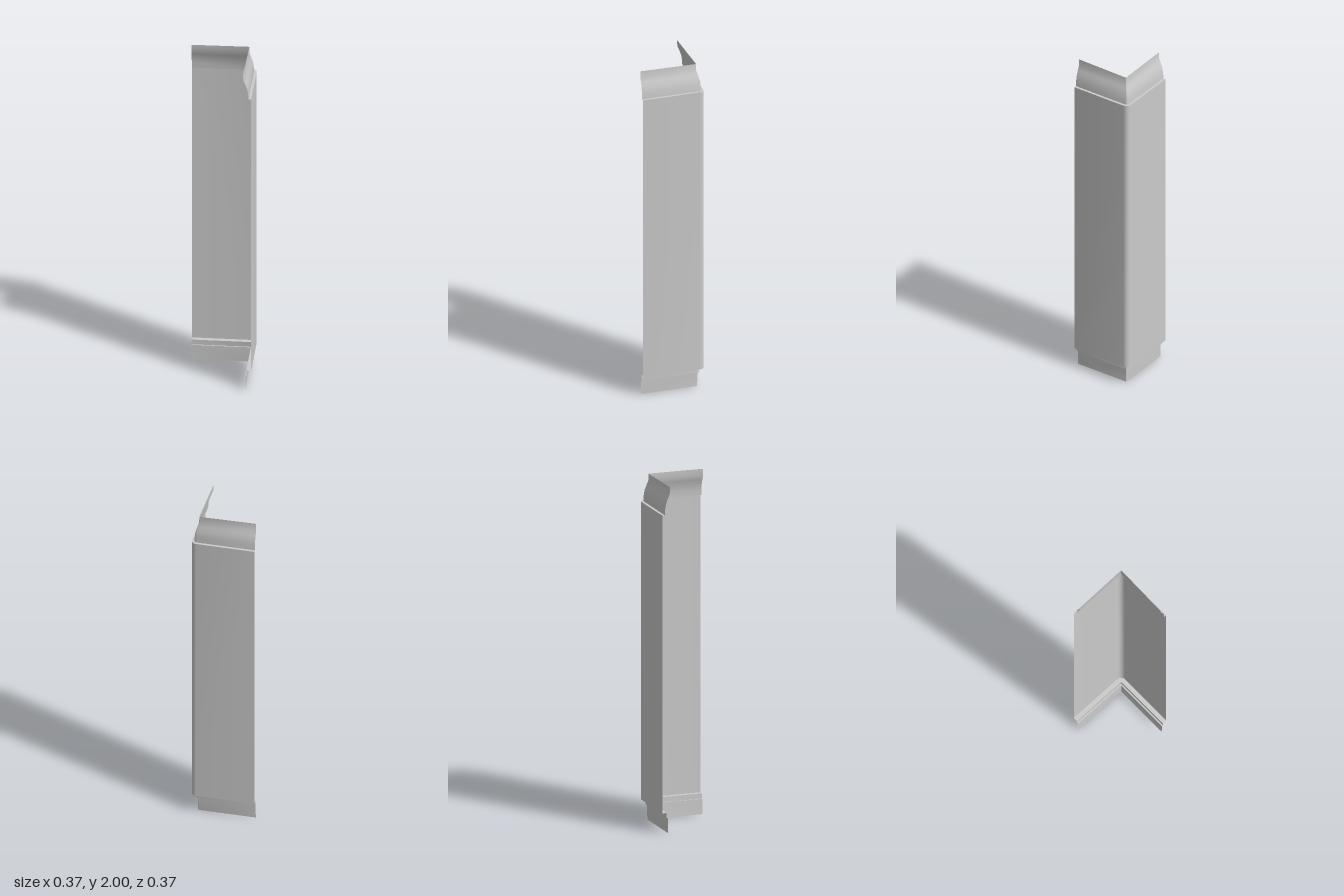
import * as THREE from 'three';
import { toCreasedNormals } from 'three/addons/utils/BufferGeometryUtils.js';

const END = -0.183; // free edge of each wing
const ARC = 6; // segments around the corner

// L-shaped section: back wing, rounded corner, side wing
function section({ y, d, r = 0.002, endD = d }) {
  const pts = [[END, y, -endD]];
  const c = d - r;
  for (let i = 0; i <= ARC; i++) {
    const a = -Math.PI / 2 + (i / ARC) * Math.PI / 2;
    pts.push([c + r * Math.cos(a), y, -c + r * Math.sin(a)]);
  }
  pts.push([endD, y, -END]);
  return pts;
}

// Thin sheet lofted through sections listed from bottom to top
function sheet(name, rows) {
  const sections = rows.map(section);
  const n = sections[0].length;
  const index = [];
  for (let j = 0; j < rows.length - 1; j++) {
    for (let i = 0; i < n - 1; i++) {
      const a = j * n + i, b = a + n;
      index.push(a, b, a + 1, a + 1, b, b + 1);
    }
  }
  const geo = new THREE.BufferGeometry();
  geo.setAttribute('position', new THREE.Float32BufferAttribute(sections.flat(2), 3));
  geo.setIndex(index);
  const mat = new THREE.MeshStandardMaterial({ color: 0xcccccc, side: THREE.DoubleSide });
  const mesh = new THREE.Mesh(toCreasedNormals(geo, 0.6), mat);
  mesh.name = name;
  return mesh;
}

export function createModel() {
  const group = new THREE.Group();
  group.name = 'cornerTrim';

  // Recessed foot with a small step
  group.add(sheet('foot', [
    { y: 0, d: 0.148 },
    { y: 0.088, d: 0.15 },
    { y: 0.088, d: 0.157, r: 0.006 },
    { y: 0.118, d: 0.157, r: 0.006 },
  ]));

  // Tall corner panel with narrow ledges at both ends
  group.add(sheet('panel', [
    { y: 0.118, d: 0.157, r: 0.006 },
    { y: 0.118, d: 0.183, r: 0.03 },
    { y: 1.84, d: 0.183, r: 0.03 },
    { y: 1.84, d: 0.168, r: 0.015 },
  ]));

  // Curved flange leaning inward at the top
  group.add(sheet('topFlange', [
    { y: 1.84, d: 0.168, r: 0.015 },
    { y: 1.875, d: 0.166, r: 0.012 },
    { y: 1.905, d: 0.161, r: 0.008 },
    { y: 1.935, d: 0.152, r: 0.005, endD: 0.15 },
    { y: 1.96, d: 0.144, r: 0.002, endD: 0.139 },
    { y: 2, d: 0.143, r: 0.002, endD: 0.137 },
  ]));

  return group;
}
